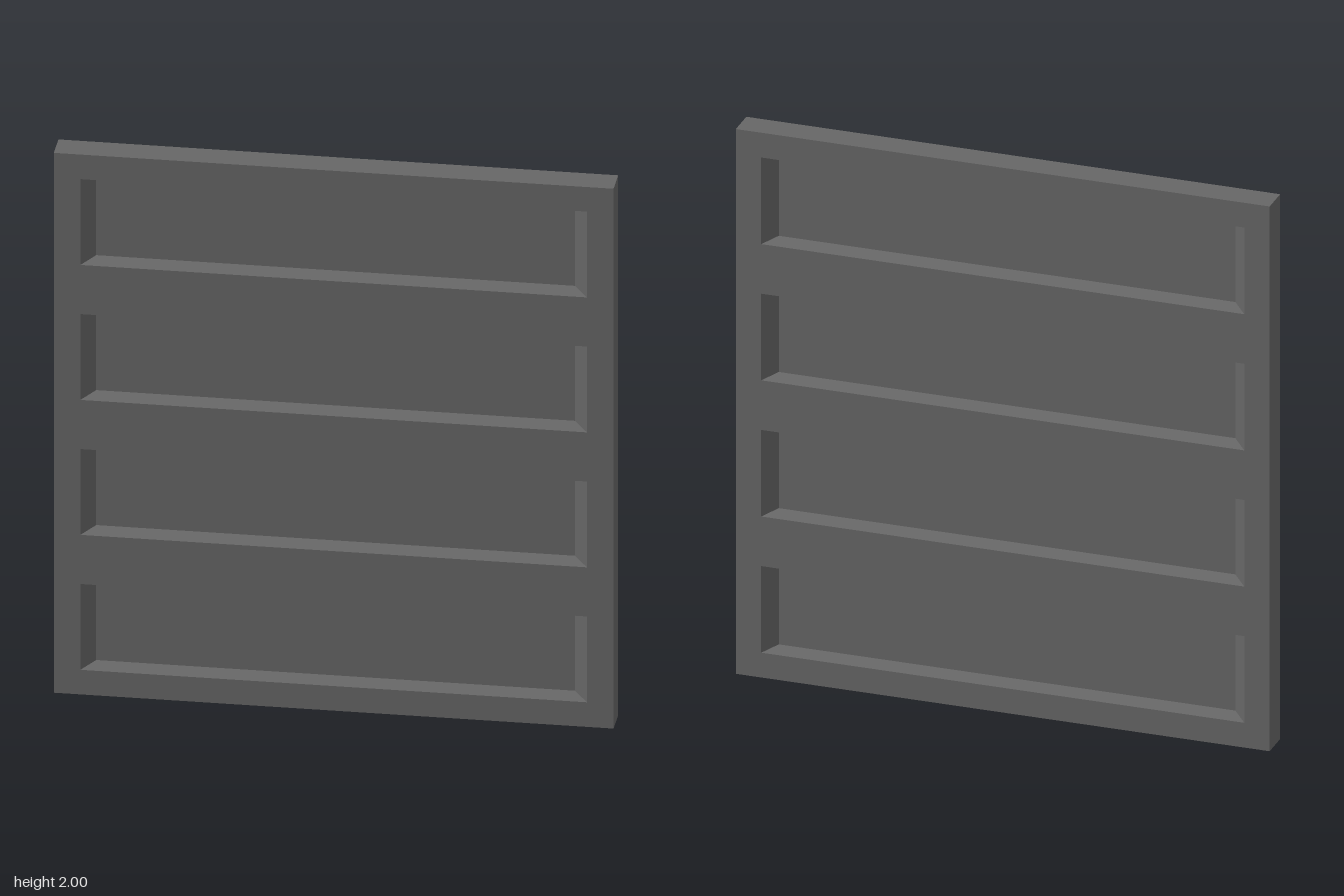
import * as THREE from 'three';

const W = 0.947, T = 0.053;            // half width, half thickness
const DEPTH = 0.044;                   // recess depth
const OPEN = [0.857, 0.159], FLOOR = [0.81, 0.14]; // half sizes of each recess
const CENTRES = [0.25, 0.75, 1.25, 1.75];

// Counter-clockwise corners of a rectangle
const rect = (hw, hh, cy) => [[-hw, cy - hh], [hw, cy - hh], [hw, cy + hh], [-hw, cy + hh]];
const path = (pts) => pts.map(([x, y]) => new THREE.Vector2(x, y));

// Four flat sides joining rectangle a at depth za to rectangle b at depth zb
function loft(a, za, b, zb) {
  const pos = [];
  for (let i = 0; i < 4; i++) {
    const j = (i + 1) % 4;
    pos.push(...a[i], za, ...b[i], zb, ...b[j], zb);
    pos.push(...a[i], za, ...b[j], zb, ...a[j], za);
  }
  const g = new THREE.BufferGeometry();
  g.setAttribute('position', new THREE.Float32BufferAttribute(pos, 3));
  g.computeVertexNormals();
  return g;
}

export function createModel() {
  const model = new THREE.Group();
  model.name = 'panelDoor';
  const grey = new THREE.MeshStandardMaterial({ color: 0x666666 });
  grey.name = 'darkGrey';
  const add = (parent, name, geometry) => {
    const mesh = new THREE.Mesh(geometry, grey);
    mesh.name = name;
    parent.add(mesh);
    return mesh;
  };

  // Outer edges of the slab
  const outline = rect(W, 1, 1);
  add(model, 'slabEdges', loft(outline, T, outline, -T));

  // Identical front and back faces, each with four bevelled recesses
  for (const [name, turn] of [['front', 0], ['back', Math.PI]]) {
    const side = new THREE.Group();
    side.name = name + 'Side';
    side.rotation.y = turn;
    model.add(side);

    const shape = new THREE.Shape(path(outline));
    for (const cy of CENTRES) {
      const opening = rect(...OPEN, cy);
      shape.holes.push(new THREE.Path(path(opening)));
      add(side, 'recessBevel', loft(rect(...FLOOR, cy), T - DEPTH, opening, T));
      add(side, 'recessedPanel', new THREE.PlaneGeometry(FLOOR[0] * 2, FLOOR[1] * 2))
        .position.set(0, cy, T - DEPTH);
    }
    add(side, 'frameFace', new THREE.ShapeGeometry(shape)).position.z = T;
  }
  return model;
}
